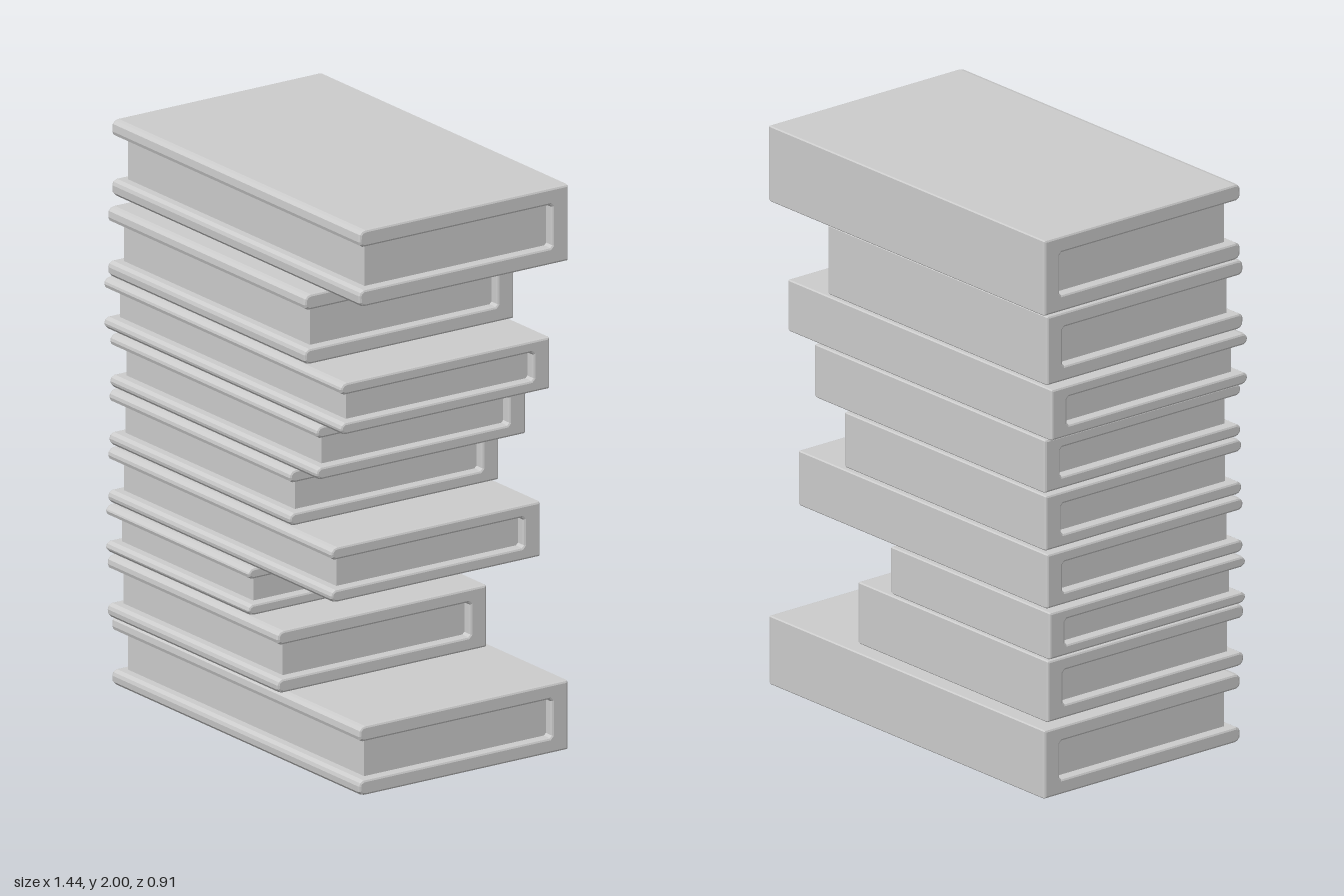
import * as THREE from 'three';

const material = new THREE.MeshStandardMaterial({ color: 0xcccccc, flatShading: true });

// Each book: bottom, top, left edge, right edge, spine z, fore-edge z
const BOOKS = [
  [0.005, 0.25, -0.72, 0.715, -0.447, 0.41],
  [0.26, 0.48, -0.69, 0.30, -0.407, 0.45],
  [0.487, 0.655, -0.70, 0.13, -0.407, 0.45],
  [0.665, 0.86, -0.687, 0.61, -0.407, 0.45],
  [0.87, 1.067, -0.68, 0.37, -0.407, 0.45],
  [1.075, 1.265, -0.675, 0.525, -0.407, 0.45],
  [1.272, 1.455, -0.71, 0.665, -0.407, 0.45],
  [1.463, 1.71, -0.687, 0.457, -0.407, 0.45],
  [1.73, 2.0, -0.72, 0.717, -0.447, 0.41],
];

// C-shaped binding: spine at the back, two boards with tapered lips at the front
function coverGeometry(width, height, back, front) {
  const h = height / 2;
  const t = height * 0.2 + 0.006; // board thickness
  const inner = back + 0.068; // inside of the spine
  const upper = [
    [inner, h - t - 0.008],
    [inner + 0.008, h - t],
    [front - 0.018, h - t],
    [front - 0.004, h - t + 0.008],
    [front, h - t + 0.02],
    [front - 0.002, h - 0.014],
    [front - 0.012, h - 0.003],
    [front - 0.025, h],
    [back + 0.004, h],
    [back, h - 0.004],
  ];
  const lower = upper.map(([z, y]) => [z, -y]).reverse();
  const shape = new THREE.Shape([...upper, ...lower].map(([z, y]) => new THREE.Vector2(z, y)));
  const bevel = 0.01;
  const geometry = new THREE.ExtrudeGeometry(shape, {
    depth: width - 2 * bevel,
    bevelEnabled: true,
    bevelThickness: bevel,
    bevelSize: 0.008,
    bevelOffset: -0.008,
    bevelSegments: 2,
  });
  geometry.translate(0, 0, bevel - width / 2);
  geometry.rotateY(-Math.PI / 2);
  return geometry;
}

function makeBook([bottom, top, left, right, back, front]) {
  const book = new THREE.Group();
  const width = right - left;
  const height = top - bottom;

  const cover = new THREE.Mesh(coverGeometry(width, height, back, front), material);
  cover.name = 'cover';

  // Page block, set in from the cover on its three open sides
  const pageBack = back + 0.06;
  const pageFront = front - 0.045;
  const board = height * 0.2;
  const pages = new THREE.Mesh(
    new THREE.BoxGeometry(width - 0.07, height - 2 * board, pageFront - pageBack),
    material
  );
  pages.position.z = (pageFront + pageBack) / 2;
  pages.name = 'pages';

  book.add(cover, pages);
  book.position.set((left + right) / 2, (top + bottom) / 2, 0.007 * (left + right) / 2);
  book.rotation.y = -0.007;
  return book;
}

export function createModel() {
  const stack = new THREE.Group();
  stack.name = 'bookStack';
  BOOKS.forEach((spec, i) => {
    const book = makeBook(spec);
    book.name = `book${i + 1}`;
    stack.add(book);
  });
  return stack;
}
